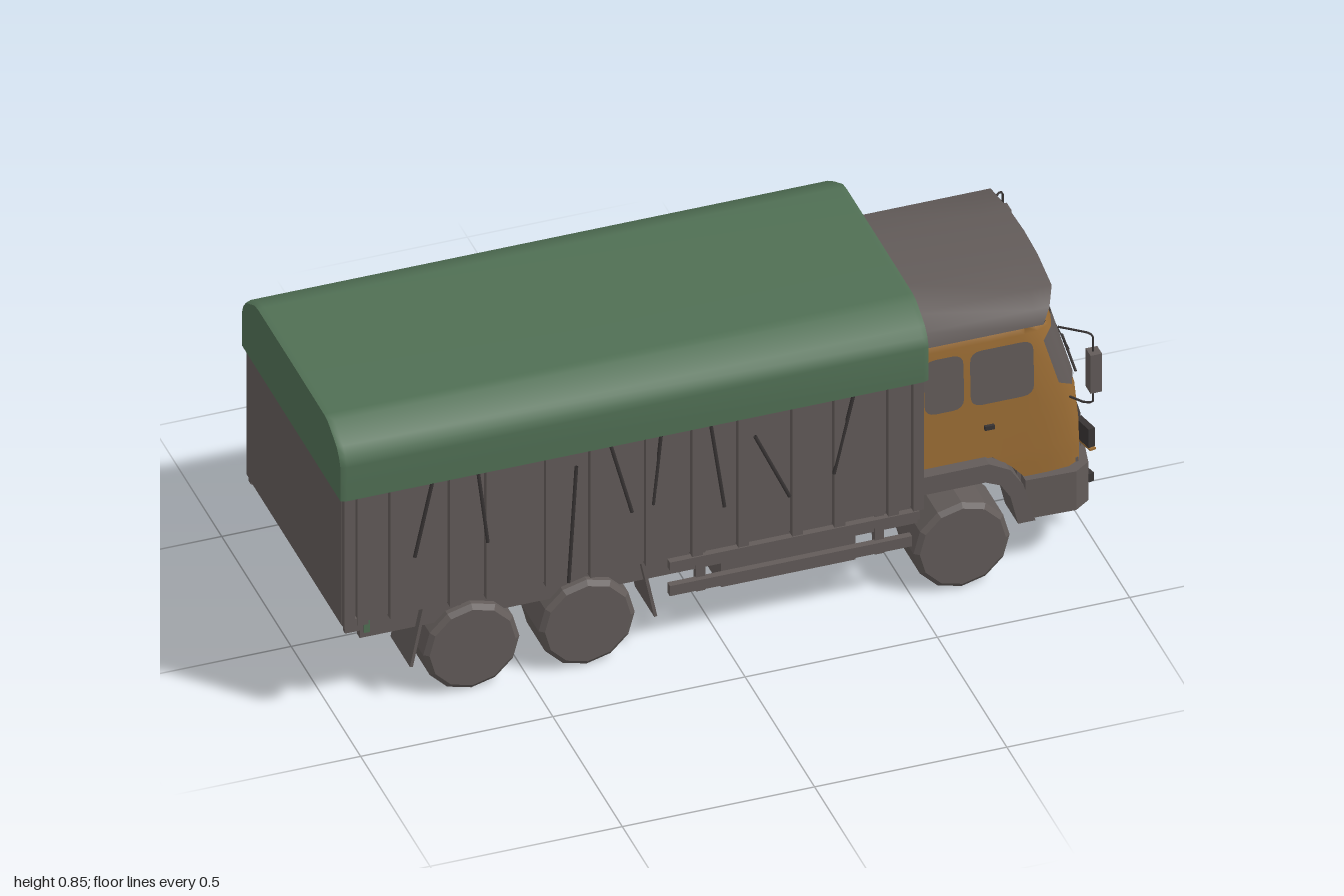
import * as THREE from 'three';

const mat = (name, color) => new THREE.MeshStandardMaterial({ name, color, side: THREE.DoubleSide });

export function createModel() {
  const truck = new THREE.Group();
  truck.name = 'coveredTruck';
  const grey = mat('warmGrey', 0x625b59);
  const orange = mat('ochre', 0x9a6c34);
  const green = mat('canvasGreen', 0x506f54);
  const dark = mat('darkGrey', 0x383434);

  const add = (name, geo, m, parent = truck) => {
    const mesh = new THREE.Mesh(geo, m);
    mesh.name = name;
    parent.add(mesh);
    return mesh;
  };
  const box = (name, m, x0, x1, y0, y1, z0, z1) => {
    const mesh = add(name, new THREE.BoxGeometry(x1 - x0, y1 - y0, Math.abs(z1 - z0)), m);
    mesh.position.set((x0 + x1) / 2, (y0 + y1) / 2, (z0 + z1) / 2);
    return mesh;
  };
  const shapeOf = pts => new THREE.Shape(pts.map(p => new THREE.Vector2(p[0], p[1])));
  const extrude = (pts, depth) => new THREE.ExtrudeGeometry(shapeOf(pts), { depth, bevelEnabled: false });
  // thin bar between two points
  const bar = (name, m, a, b, r) => {
    const path = new THREE.LineCurve3(new THREE.Vector3(...a), new THREE.Vector3(...b));
    return add(name, new THREE.TubeGeometry(path, 1, r, 5), m);
  };
  const tube = (name, m, pts, r) => {
    const path = new THREE.CurvePath();
    for (let i = 1; i < pts.length; i++)
      path.add(new THREE.LineCurve3(new THREE.Vector3(...pts[i - 1]), new THREE.Vector3(...pts[i])));
    return add(name, new THREE.TubeGeometry(path, pts.length * 6, r, 6), m);
  };
  const grid = (nu, nv, point) => {
    const pos = [], idx = [];
    for (let j = 0; j < nv; j++) for (let i = 0; i < nu; i++) pos.push(...point(i, j));
    for (let j = 0; j < nv - 1; j++) for (let i = 0; i < nu - 1; i++) {
      const a = j * nu + i, b = a + nu;
      idx.push(a, a + 1, b, a + 1, b + 1, b);
    }
    const g = new THREE.BufferGeometry();
    g.setAttribute('position', new THREE.Float32BufferAttribute(pos, 3));
    g.setIndex(idx);
    g.computeVertexNormals();
    return g;
  };
  const lerpTable = (table, v) => {
    if (v <= table[0][0]) return table[0][1];
    for (let i = 1; i < table.length; i++) {
      const [a, p] = table[i - 1], [b, q] = table[i];
      if (v <= b) return p + (q - p) * (v - a) / (b - a);
    }
    return table[table.length - 1][1];
  };

  // cab shell: nose position, half width and lower edge by rule
  const noseX = y => lerpTable([[0.26, 0.995], [0.36, 0.995], [0.455, 0.985], [0.68, 0.92], [0.715, 0.9], [0.74, 0.86]], y);
  const halfW = y => lerpTable([[0.26, 0.287], [0.35, 0.287], [0.68, 0.272], [0.715, 0.258], [0.74, 0.22]], y);
  const setback = u => lerpTable([[0, 0], [0.35, 0.005], [0.7, 0.02], [0.92, 0.042], [0.985, 0.075], [1, 0.13]], Math.abs(u));
  const cabBottom = x => lerpTable([[0.72, 0.345], [0.77, 0.305], [0.81, 0.26]], x);
  const half = [[0.53, 1], [0.72, 1], [0.77, 1], [0.81, 1], [null, 1], [null, 0.985], [null, 0.92], [null, 0.7], [null, 0.35]];
  const ring = [...half, [null, 0], ...half.map(([x, u]) => [x, -u]).reverse()];
  const rows = [0.26, 0.305, 0.345, 0.455, 0.57, 0.68, 0.715, 0.74];
  add('cabShell', grid(ring.length, rows.length, (i, j) => {
    const [fx, u] = ring[i];
    const x = fx ?? noseX(rows[j]) - setback(u);
    const y = Math.max(rows[j], cabBottom(x));
    return [fx ?? noseX(y) - setback(u), y, halfW(y) * u];
  }), orange);
  box('cabBack', orange, 0.53, 0.54, 0.3, 0.73, -0.265, 0.265);
  box('cabFloor', grey, 0.54, 0.8, 0.335, 0.345, -0.28, 0.28);
  box('cabUnderside', grey, 0.79, 0.95, 0.17, 0.28, -0.27, 0.27);

  // front panels that follow the cab surface
  const us = [-0.985, -0.92, -0.7, -0.62, -0.35, 0, 0.35, 0.62, 0.7, 0.92, 0.985];
  const frontPatch = (name, m, list, low, high, n) =>
    add(name, grid(list.length, n, (i, j) => {
      const u = list[i], y = low(u) + (high(u) - low(u)) * j / (n - 1);
      return [noseX(y) - setback(u) + 0.005, y, (halfW(y) + 0.003) * u];
    }), m);
  frontPatch('windscreen', grey, us,
    u => lerpTable([[0.62, 0.457], [0.7, 0.488], [0.92, 0.495], [0.985, 0.52]], Math.abs(u)),
    u => lerpTable([[0.7, 0.679], [0.92, 0.675], [0.985, 0.65]], Math.abs(u)), 3);
  frontPatch('grille', grey, us.slice(1, -1), () => 0.262, () => 0.36, 2);

  // roof deflector with raised front lip
  const roofHalf = [[0.268, 0.695], [0.255, 0.735], [0.22, 0.772], [0.1, 0.785], [0, 0.788]];
  const roof = [...roofHalf, ...roofHalf.slice(0, -1).reverse().map(([z, y]) => [-z, y])];
  const roofX = [0.53, 0.84, 0.905];
  add('roofDeflector', grid(roof.length, 3, (i, j) => {
    const [z, y] = roof[i];
    return [j < 2 ? roofX[j] : 0.86 + (y - 0.695) * 0.5, y, z];
  }), grey);
  add('deflectorFront', grid(roof.length, 2, (i, j) => {
    const [z, y] = roof[i];
    return j ? [0.86 + (y - 0.695) * 0.5, y, z] : [0.868, 0.7 + 0.035 * (1 - (z / 0.268) ** 2), z * 0.97];
  }), grey);
  const roofBack = add('deflectorBack', new THREE.ShapeGeometry(shapeOf(roof)), grey);
  roofBack.rotation.y = -Math.PI / 2;
  roofBack.position.x = 0.531;

  // bumper, extruded from its plan
  const bumperHalf = [[0.8, 0.305], [0.93, 0.31], [0.972, 0.28], [0.99, 0.2], [1, 0.08]];
  const bumperPlan = [...bumperHalf, ...bumperHalf.map(([x, z]) => [x, -z]).reverse()];
  const bumper = add('bumper', extrude(bumperPlan, 0.115), grey);
  bumper.rotation.x = Math.PI / 2;
  bumper.position.y = 0.268;
  tube('frontGuardBar', orange, [[0.85, 0.135, 0.26], [0.96, 0.135, 0.26], [0.99, 0.135, 0.19],
    [0.99, 0.135, -0.19], [0.96, 0.135, -0.26], [0.85, 0.135, -0.26]], 0.01);
  box('frontPlate', orange, 0.992, 1, 0.137, 0.185, -0.068, 0.068);
  box('frontPlateEdge', green, 0.993, 1, 0.133, 0.137, -0.068, 0.068);
  for (const [z0, z1] of [[-0.11, 0.11], [0.133, 0.183], [-0.183, -0.133]])
    box('frontFlap', grey, 0.982, 0.988, 0.07, 0.13, z0, z1).rotation.z = 0.15;

  // wheel with recessed inner side
  const tyre = new THREE.LatheGeometry([[0, 0.07], [0.112, 0.07], [0.125, 0.06], [0.125, -0.07], [0.105, -0.07], [0.09, -0.03], [0, 0.02]]
    .map(p => new THREE.Vector2(...p)).reverse(), 12).toNonIndexed();
  tyre.computeVertexNormals();
  const windowShape = (x0, x1, y0, y1, r) => {
    const s = new THREE.Shape();
    s.moveTo(x0 + r, y0).lineTo(x1 - r, y0).quadraticCurveTo(x1, y0, x1, y0 + r).lineTo(x1, y1 - r)
      .quadraticCurveTo(x1, y1, x1 - r, y1).lineTo(x0 + r, y1).quadraticCurveTo(x0, y1, x0, y1 - r)
      .lineTo(x0, y0 + r).quadraticCurveTo(x0, y0, x0 + r, y0);
    return new THREE.ShapeGeometry(s, 4);
  };

  for (const s of [1, -1]) {
    // cab side windows, handle, fender
    for (const [x0, x1] of [[0.545, 0.648], [0.665, 0.83]]) {
      const g = windowShape(x0, x1, 0.505, 0.662, 0.03), p = g.attributes.position;
      for (let i = 0; i < p.count; i++) p.setZ(i, s * (halfW(p.getY(i)) + 0.004));
      g.computeVertexNormals();
      add('sideWindow', g, grey);
    }
    box('doorHandle', dark, 0.7, 0.725, 0.43, 0.442, s * 0.28, s * 0.291);
    const fender = add('fender', extrude([[0.53, 0.35], [0.7, 0.35], [0.755, 0.32], [0.79, 0.265], [0.82, 0.155],
      [0.775, 0.155], [0.755, 0.24], [0.73, 0.28], [0.69, 0.298], [0.53, 0.298]], 0.095), grey);
    fender.position.z = s > 0 ? 0.225 : -0.32;
    // mirror, arms, wiper, lamps
    box('mirror', grey, 0.955, 0.985, 0.515, 0.628, s * 0.308, s * 0.343);
    tube('mirrorArm', dark, [[0.9, 0.675, s * 0.262], [0.955, 0.682, s * 0.318], [0.968, 0.675, s * 0.325],
      [0.968, 0.475, s * 0.325], [0.95, 0.47, s * 0.31], [0.925, 0.47, s * 0.275]], 0.003);
    bar('wiperArm', dark, [0.977, 0.468, s * 0.175], [0.979, 0.508, s * 0.07], 0.0035);
    bar('wiperBlade', dark, [0.972, 0.512, s * 0.14], [0.978, 0.512, 0], 0.002);
    box('headlamp', dark, 0.972, 0.99, 0.295, 0.35, s * 0.2, s * 0.262).rotation.y = s * 0.22;
    box('indicator', orange, 0.975, 0.992, 0.287, 0.292, s * 0.205, s * 0.265).rotation.y = s * 0.22;
    box('fogLamp', dark, 0.972, 0.987, 0.2, 0.224, s * 0.24, s * 0.272).rotation.y = s * 0.25;

    // wheels and mudflaps
    for (const x of [-0.645, -0.345, 0.63]) {
      const w = add('wheel', tyre, grey);
      w.position.set(x, 0.125, s * 0.254);
      w.rotation.x = s * Math.PI / 2;
    }
    for (const [x, tilt] of [[-0.785, -0.2], [-0.185, 0.2]])
      box('mudflap', grey, x - 0.004, x + 0.004, 0.1, 0.28, s * 0.18, s * 0.32).rotation.z = tilt;

    // cargo side wall with posts and straps
    box('sideWall', grey, -0.985, 0.52, 0.285, 0.7, s * 0.325, s * 0.335);
    for (const x of [-0.975, -0.94, -0.855, -0.7, -0.605, -0.45, -0.335, -0.19, -0.07, 0.05, 0.19, 0.3, 0.44, 0.505])
      box('sidePost', grey, x - 0.014, x + 0.014, 0.28, 0.68, s * 0.33, s * 0.352);
    for (const [x0, y0, x1, y1] of [[-0.76, 0.66, -0.805, 0.45], [-0.64, 0.66, -0.615, 0.45], [-0.385, 0.62, -0.405, 0.28],
      [-0.295, 0.66, -0.24, 0.45], [-0.165, 0.66, -0.185, 0.46], [-0.035, 0.66, 0, 0.41], [0.08, 0.6, 0.17, 0.4], [0.335, 0.66, 0.285, 0.44]])
      bar('strap', dark, [x0, y0, s * 0.35], [x1, y1, s * 0.35], 0.005);

    // chassis rail, side guard and brackets
    box('chassisRail', grey, -0.93, 0.85, 0.2, 0.28, s * 0.085, s * 0.115);
    box('sideSill', grey, -0.93, 0.52, 0.205, 0.285, s * 0.28, s * 0.3);
    box('upperGuardRail', grey, -0.13, 0.52, 0.228, 0.252, s * 0.3, s * 0.318);
    box('lowerGuardRail', grey, -0.13, 0.5, 0.152, 0.182, s * 0.3, s * 0.318);
    for (const x of [-0.045, 0.42]) box('guardBracket', grey, x - 0.012, x + 0.012, 0.14, 0.28, s * 0.285, s * 0.305);
    box('sideTank', grey, 0.015, 0.365, 0.123, 0.225, s * 0.13, s * 0.285);
    for (const x of [-0.965]) box('rearCornerFoot', grey, x - 0.02, x + 0.02, 0.262, 0.3, s * 0.33, s * 0.347);
    box('sideMarker', green, -0.92, -0.905, 0.22, 0.26, s * 0.299, s * 0.304);
  }

  // cargo floor and ends
  box('cargoFloor', grey, -0.985, 0.52, 0.275, 0.295, -0.33, 0.33);
  box('frontWall', grey, 0.51, 0.525, 0.28, 0.68, -0.335, 0.335);
  box('tailgate', grey, -0.99, -0.975, 0.28, 0.68, -0.335, 0.335);

  // canvas cover: section lofted along the bed, slightly drawn in at the ends
  const coverHalf = [[0.36, 0.665], [0.36, 0.765], [0.35, 0.79], [0.332, 0.812], [0.268, 0.846], [0.24, 0.85], [0, 0.851]];
  const cover = [...coverHalf, ...coverHalf.slice(0, -1).reverse().map(([z, y]) => [-z, y])];
  const coverX = [[-1, 0.985], [-0.985, 1], [0.515, 1], [0.53, 0.985]];
  add('canvasCover', grid(cover.length, 4, (i, j) => {
    const [x, k] = coverX[j], [z, y] = cover[i];
    return [x, 0.665 + (y - 0.665) * k, z * k];
  }), green);
  for (const x of [-1, 0.53]) {
    const end = add('coverEnd', new THREE.ShapeGeometry(shapeOf(cover.map(([z, y]) => [z * 0.985, 0.665 + (y - 0.665) * 0.985]))), green);
    end.rotation.y = -Math.PI / 2;
    end.position.x = x;
  }

  // axles and differentials
  for (const x of [-0.645, -0.345, 0.63]) {
    bar('axle', grey, [x, 0.125, -0.24], [x, 0.125, 0.24], 0.022);
    const hub = add('differential', new THREE.SphereGeometry(x > 0 ? 0.03 : 0.055, 10, 6), grey);
    hub.position.set(x, 0.125, 0);
  }
  bar('driveShaft', grey, [-0.645, 0.14, 0], [0.5, 0.2, 0], 0.014);
  box('engine', grey, 0.5, 0.85, 0.17, 0.33, -0.085, 0.085);
  for (const x of [-0.92, -0.5, -0.1, 0.45]) box('crossMember', grey, x - 0.015, x + 0.015, 0.215, 0.275, -0.28, 0.28);
  box('rearPlate', orange, -0.945, -0.937, 0.205, 0.255, -0.07, 0.07);
  return truck;
}
